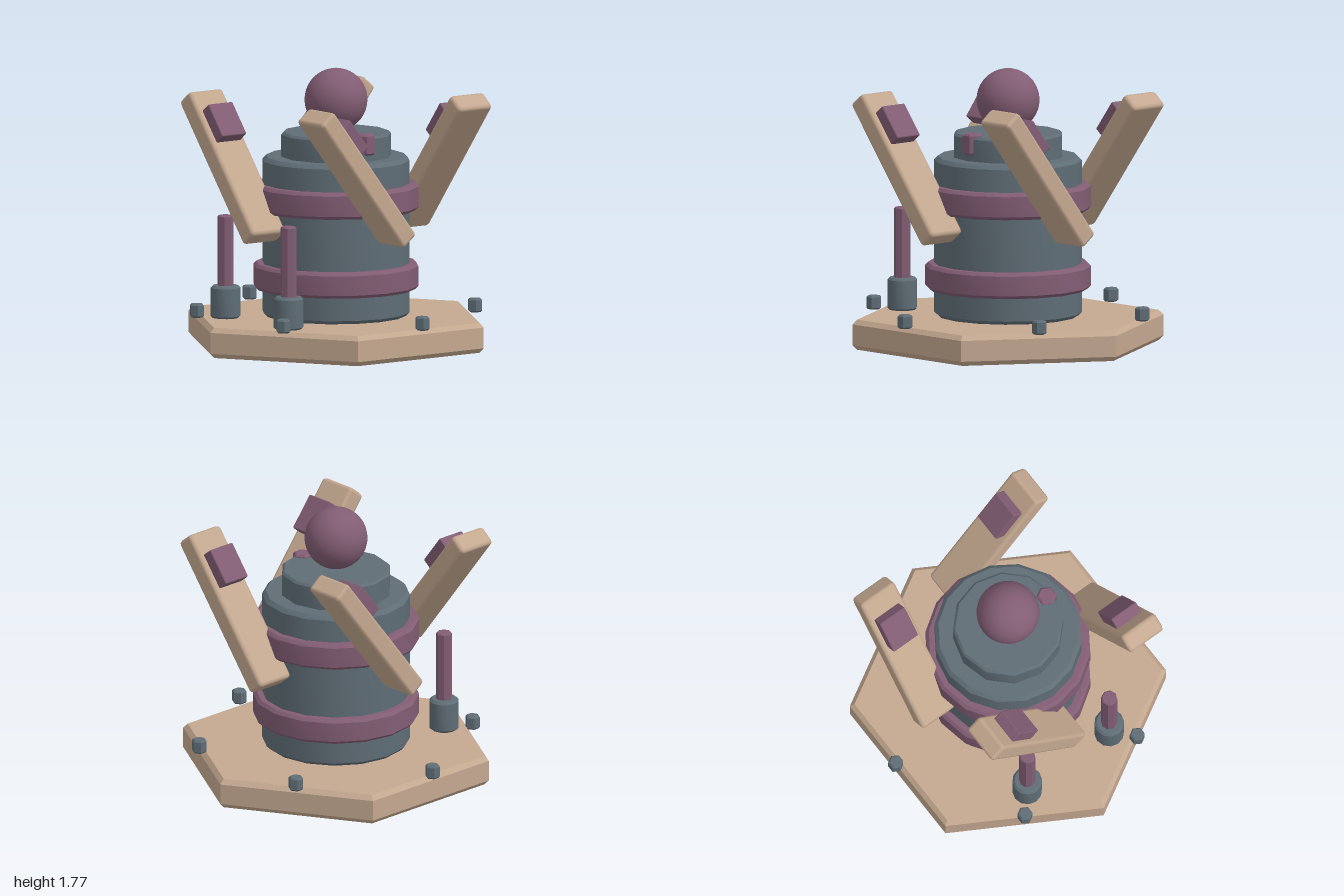
import * as THREE from 'three';
import { toCreasedNormals } from 'three/addons/utils/BufferGeometryUtils.js';
import { RoundedBoxGeometry } from 'three/addons/geometries/RoundedBoxGeometry.js';

export function createModel() {
  const material = (name, color) => {
    const m = new THREE.MeshStandardMaterial({ color });
    m.name = name;
    return m;
  };
  const tan = material('tan', 0xc4a890);
  const slate = material('slate', 0x5f6d76);
  const plum = material('plum', 0x825d74);

  const model = new THREE.Group();
  model.name = 'model';

  const add = (parent, name, geometry, mat, x = 0, y = 0, z = 0) => {
    const mesh = new THREE.Mesh(geometry, mat);
    mesh.name = name;
    mesh.position.set(x, y, z);
    parent.add(mesh);
    return mesh;
  };

  // Upright prism from y0 to y1 with chamfered rims
  const prism = (r, y0, y1, sides, b) => {
    const profile = [[0, y0], [r - b, y0], [r, y0 + b], [r, y1 - b], [r - b, y1], [0, y1]];
    const points = profile.map(([x, y]) => new THREE.Vector2(x, y));
    return toCreasedNormals(new THREE.LatheGeometry(points, sides), 0.6);
  };

  // Hexagonal base and the studs around its rim
  add(model, 'base', prism(1.01, 0, 0.193, 6, 0.03), tan);
  for (let i = 0; i < 6; i++) {
    const a = (i * Math.PI) / 3;
    add(model, 'stud', prism(0.048, 0.193, 0.28, 6, 0.01), slate, 0.89 * Math.cos(a), 0, 0.89 * Math.sin(a));
  }

  // Drum, neck, bands and top ball
  add(model, 'drum', prism(0.47, 0.19, 1.21, 16, 0.025), slate);
  add(model, 'neck', prism(0.352, 1.19, 1.365, 12, 0.015), slate);
  add(model, 'lowerBand', prism(0.527, 0.365, 0.53, 16, 0.02), plum);
  add(model, 'upperBand', prism(0.527, 0.87, 1.04, 16, 0.02), plum);
  add(model, 'ball', new THREE.SphereGeometry(0.2, 32, 20), plum, 0, 1.57, 0);
  add(model, 'neckPeg', prism(0.065, 1.25, 1.383, 6, 0.012), plum, 0.305, 0, 0);

  // Front pistons
  for (const side of [-1, 1]) {
    const piston = new THREE.Group();
    piston.name = 'piston';
    piston.position.set(side * 0.325, 0, 0.635);
    add(piston, 'sleeve', prism(0.095, 0.19, 0.4, 12, 0.015), slate);
    add(piston, 'rod', prism(0.052, 0.38, 0.848, 8, 0.008), plum);
    model.add(piston);
  }

  // Four slanted arms, each with a pad near its upper end
  for (let i = 0; i < 4; i++) {
    const turn = new THREE.Group();
    turn.name = 'armMount';
    turn.rotation.y = (i * Math.PI) / 2;
    const arm = new THREE.Group();
    arm.name = 'arm';
    arm.position.set(-0.3, 1.158, 0.597);
    arm.rotation.z = 0.666;
    add(arm, 'armBeam', new RoundedBoxGeometry(0.135, 1.075, 0.27, 1, 0.025), tan);
    add(arm, 'armPad', new RoundedBoxGeometry(0.1, 0.24, 0.195, 1, 0.008), plum, 0.095, 0.268, 0);
    turn.add(arm);
    model.add(turn);
  }

  return model;
}
